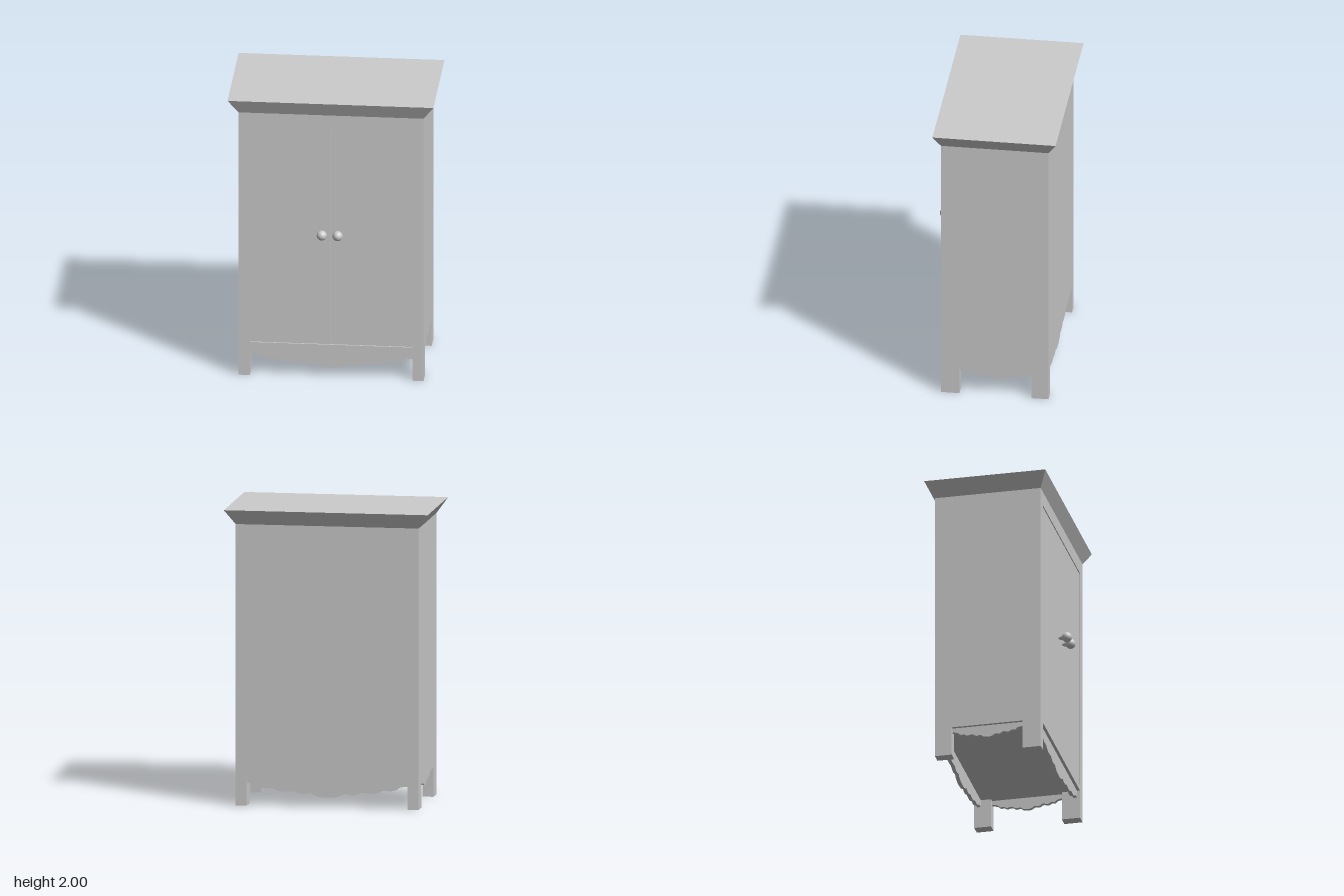
import * as THREE from 'three';

const material = new THREE.MeshStandardMaterial({ color: 0xcccccc });
const W = 0.62, FRONT = 0.35, BACK = -0.375;   // carcass half width, front and back planes
const BOTTOM = 0.2, NECK = 1.9, TOP = 2;

function add(parent, name, geometry, x = 0, y = 0, z = 0) {
  const mesh = new THREE.Mesh(geometry, material);
  mesh.name = name;
  mesh.position.set(x, y, z);
  parent.add(mesh);
  return mesh;
}

// Box given by its two extreme corners
function block(parent, name, [x0, y0, z0], [x1, y1, z1]) {
  return add(parent, name, new THREE.BoxGeometry(x1 - x0, y1 - y0, z1 - z0),
    (x0 + x1) / 2, (y0 + y1) / 2, (z0 + z1) / 2);
}

// Board with a straight top and a mirrored scalloped lower edge
// half: [distance from centre, height] from the middle outwards
function apronGeometry(half, thickness) {
  const right = half.map(([x, y]) => new THREE.Vector2(x, y));
  const left = half.slice(1).reverse().map(([x, y]) => new THREE.Vector2(-x, y));
  const edge = new THREE.SplineCurve([...left, ...right]).getPoints(96);
  const end = half[half.length - 1][0];
  const shape = new THREE.Shape();
  shape.moveTo(-end, BOTTOM + 0.005);
  edge.forEach((p) => shape.lineTo(p.x, p.y));
  shape.lineTo(end, BOTTOM + 0.005);
  shape.closePath();
  return new THREE.ExtrudeGeometry(shape, { depth: thickness, bevelEnabled: false });
}

export function createModel() {
  const root = new THREE.Group();
  root.name = 'wardrobe';

  // Carcass behind the doors
  block(root, 'carcass', [-W, BOTTOM, BACK], [W, NECK, FRONT - 0.02]);

  // Face frame with the door opening
  const face = new THREE.Shape([[-W, BOTTOM], [W, BOTTOM], [W, NECK], [-W, NECK]]
    .map(([x, y]) => new THREE.Vector2(x, y)));
  face.holes.push(new THREE.Path([[-0.545, 0.24], [-0.545, 1.8], [0.545, 1.8], [0.545, 0.24]]
    .map(([x, y]) => new THREE.Vector2(x, y))));
  add(root, 'faceFrame', new THREE.ExtrudeGeometry(face, { depth: 0.02, bevelEnabled: false }),
    0, 0, FRONT - 0.02);

  // Knob: ball on a stem that widens towards the door, turned around z
  const knobProfile = [[0.011, 0], [0.011, 0.012], [0.016, 0.025]];
  for (let i = 0; i <= 14; i++) {
    const a = -0.9 + (i / 14) * (Math.PI / 2 + 0.9);
    knobProfile.push([Math.max(0, 0.034 * Math.cos(a)), 0.06 + 0.034 * Math.sin(a)]);
  }
  const knob = new THREE.LatheGeometry(knobProfile.map(([r, h]) => new THREE.Vector2(r, h)), 32);
  knob.rotateX(Math.PI / 2);

  // Pair of doors with knobs
  for (const side of [-1, 1]) {
    const label = side > 0 ? 'left' : 'right';
    const door = new THREE.Group();
    door.name = label + 'Door';
    root.add(door);
    const xs = [side * 0.003, side * 0.541].sort((a, b) => a - b);
    block(door, label + 'DoorPanel', [xs[0], 0.242, FRONT - 0.025], [xs[1], 1.798, FRONT - 0.005]);
    add(door, label + 'Knob', knob, side * 0.053 - 0.005, 1.05, FRONT - 0.01);
  }

  // Flared cornice: a box whose lower corners are pulled in to the carcass
  const cornice = new THREE.BoxGeometry(1.38, TOP - NECK, 0.83);
  const p = cornice.attributes.position;
  const zMid = -0.0175;
  for (let i = 0; i < p.count; i++) {
    if (p.getY(i) < 0) {
      p.setX(i, Math.sign(p.getX(i)) * W);
      p.setZ(i, (p.getZ(i) > 0 ? FRONT : BACK) - zMid);
    }
  }
  cornice.computeVertexNormals();
  add(root, 'cornice', cornice, 0, (TOP + NECK) / 2, zMid);

  // Four square legs
  for (const side of [-1, 1]) {
    const [x0, x1] = side > 0 ? [0.545, W] : [-W, -0.545];
    block(root, 'frontLeg', [x0, 0, 0.225], [x1, BOTTOM, FRONT]);
    block(root, 'backLeg', [x0, 0, BACK], [x1, BOTTOM, -0.26]);
  }

  // Scalloped aprons between the legs
  const longEdge = [[0, 0.065], [0.05, 0.068], [0.09, 0.08], [0.115, 0.093], [0.16, 0.085],
    [0.2, 0.09], [0.23, 0.102], [0.3, 0.098], [0.345, 0.106], [0.375, 0.12], [0.42, 0.117],
    [0.465, 0.127], [0.495, 0.146], [0.545, 0.15]];
  const shortEdge = [[0, 0.115], [0.03, 0.121], [0.05, 0.133], [0.08, 0.13], [0.105, 0.144],
    [0.14, 0.139], [0.165, 0.15], [0.185, 0.148], [0.205, 0.163], [0.225, 0.168], [0.2425, 0.17]];
  const longApron = apronGeometry(longEdge, 0.025);
  const shortApron = apronGeometry(shortEdge, 0.025);
  add(root, 'frontApron', longApron, 0, 0, FRONT - 0.045);
  add(root, 'backApron', longApron, 0, 0, BACK + 0.02);
  add(root, 'leftApron', shortApron, W - 0.045, 0, -0.0175).rotation.y = Math.PI / 2;
  add(root, 'rightApron', shortApron, -W + 0.02, 0, -0.0175).rotation.y = Math.PI / 2;

  return root;
}
